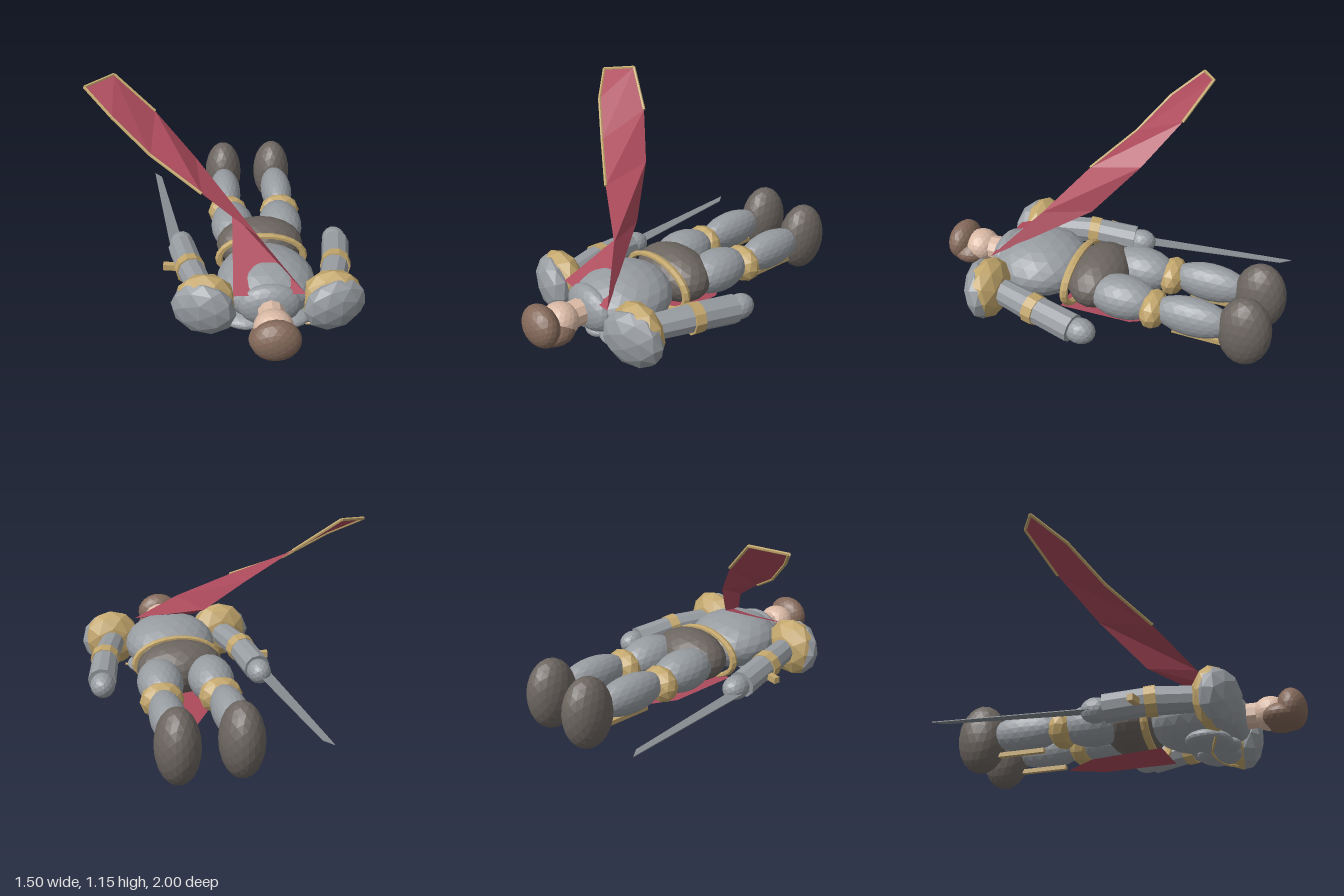
import * as THREE from 'three';

const paint = (color, side = THREE.FrontSide) =>
  new THREE.MeshStandardMaterial({ color, flatShading: true, side });
const steel = paint(0x979ca1), gold = paint(0xc2a66c), hairBrown = paint(0x84695a);
const leather = paint(0x6c6560), skin = paint(0xd9b9a5);
const red = paint(0xac4a5b, THREE.DoubleSide), blade = paint(0x858b90, THREE.DoubleSide);
const MID = 0.22; // symmetry plane of the body

export function createModel() {
  const model = new THREE.Group();
  model.name = 'recliningKnight';

  const add = (name, geometry, material, parent = model) => {
    const mesh = new THREE.Mesh(geometry, material);
    mesh.name = name;
    parent.add(mesh);
    return mesh;
  };
  const blob = (name, pos, radii, material, detail = 3, parent = model) => {
    const mesh = add(name, new THREE.IcosahedronGeometry(1, detail), material, parent);
    mesh.position.set(...pos);
    mesh.scale.set(...radii);
    return mesh;
  };
  // Faceted cylinder running from a to b
  const rod = (name, a, b, ra, rb, sides, material, parent = model) => {
    const p = new THREE.Vector3(...a), q = new THREE.Vector3(...b);
    const dir = q.clone().sub(p);
    const mesh = add(name, new THREE.CylinderGeometry(rb, ra, dir.length(), sides), material, parent);
    mesh.position.copy(p).lerp(q, 0.5);
    mesh.quaternion.setFromUnitVectors(new THREE.Vector3(0, 1, 0), dir.normalize());
    return mesh;
  };
  const sheet = (name, points, index, material, parent = model) => {
    const g = new THREE.BufferGeometry();
    g.setAttribute('position', new THREE.Float32BufferAttribute(points.flat(), 3));
    g.setIndex(index);
    g.computeVertexNormals();
    return add(name, g, material, parent);
  };

  // Head
  blob('face', [MID, 0.22, 0.8], [0.105, 0.095, 0.1], skin);
  blob('topHair', [MID, 0.232, 0.915], [0.13, 0.114, 0.083], hairBrown);
  blob('backHair', [MID, 0.19, 0.855], [0.133, 0.075, 0.12], hairBrown);
  rod('neck', [MID, 0.22, 0.62], [MID, 0.22, 0.78], 0.075, 0.07, 10, skin);

  // Torso
  blob('chest', [MID, 0.22, 0.4], [0.27, 0.165, 0.28], steel);
  blob('collar', [MID, 0.22, 0.61], [0.17, 0.125, 0.075], steel);
  blob('hips', [MID, 0.22, 0.03], [0.25, 0.152, 0.17], leather);
  const belt = add('belt', new THREE.TorusGeometry(1, 0.09, 6, 24), gold);
  belt.position.set(MID, 0.205, 0.15);
  belt.scale.set(0.243, 0.143, 0.26);

  // Back plates with a gilded rim
  for (const s of [-1, 1]) {
    const plate = blob('backPlate', [MID + s * 0.12, 0.06, 0.48], [0.14, 0.05, 0.125], steel);
    plate.rotation.y = s * 0.35;
  }
  blob('spinePlate', [MID, 0.07, 0.55], [0.08, 0.04, 0.08], steel);
  const rim = new THREE.CatmullRomCurve3([
    [-0.045, 0.03, 0.55], [0.06, 0.013, 0.51], [MID, 0.022, 0.47], [0.38, 0.013, 0.51], [0.485, 0.03, 0.55],
  ].map((p) => new THREE.Vector3(...p)));
  add('backPlateRim', new THREE.TubeGeometry(rim, 20, 0.008, 5), gold);

  // Arms and legs, mirrored about the body's middle
  for (const s of [1, -1]) {
    const side = s > 0 ? 'left' : 'right';
    const x = (d) => MID + s * d;

    const arm = new THREE.Group();
    arm.name = side + 'Arm';
    model.add(arm);
    blob('pauldronTrim', [x(0.34), 0.21, 0.56], [0.172, 0.176, 0.108], gold, 1, arm);
    const pauldron = blob('pauldron', [x(0.35), 0.2, 0.6], [0.18, 0.164, 0.092], steel, 1, arm);
    pauldron.rotation.set(0.12, s * 0.3, 0);
    rod('upperArm', [x(0.335), 0.215, 0.52], [x(0.41), 0.21, 0.25], 0.07, 0.078, 10, steel, arm);
    rod('elbowBand', [x(0.405), 0.21, 0.275], [x(0.418), 0.205, 0.215], 0.086, 0.083, 10, gold, arm);
    rod('forearm', [x(0.41), 0.21, 0.24], [x(0.452), 0.183, 0], 0.077, 0.08, 10, steel, arm);
    blob('hand', [x(0.452), 0.18, -0.045], [0.07, 0.07, 0.085], steel, 2, arm);

    const leg = new THREE.Group();
    leg.name = side + 'Leg';
    model.add(leg);
    blob('thigh', [x(0.143), 0.22, -0.165], [0.128, 0.12, 0.2], steel, 3, leg);
    blob('knee', [x(0.16), 0.205, -0.35], [0.122, 0.106, 0.078], gold, 1, leg);
    blob('shin', [x(0.163), 0.22, -0.57], [0.096, 0.11, 0.225], steel, 3, leg);
    blob('boot', [x(0.16), 0.21, -0.855], [0.117, 0.204, 0.145], leather, 3, leg);
    const strip = add('calfStrip', new THREE.BoxGeometry(0.03, 0.025, 0.28), gold, leg);
    strip.position.set(x(0.163), 0.1, -0.6);
  }

  // Loincloth hanging behind the legs
  sheet('loincloth', [
    [0.08, 0.045, 0.22], [0.37, 0.045, 0.22], [0.34, 0.03, -0.19], [MID, 0.02, -0.38], [0.1, 0.03, -0.19],
  ], [0, 1, 2, 0, 2, 4, 4, 2, 3], red);

  // Sword in the right hand
  const sword = new THREE.Group();
  sword.name = 'sword';
  model.add(sword);
  const outline = new THREE.Shape([
    [-0.295, 0], [-0.395, 0.925], [-0.35, 0.87], [-0.215, 0],
  ].map((p) => new THREE.Vector2(...p)));
  const bladeGeo = new THREE.ExtrudeGeometry(outline, { depth: 0.005, bevelEnabled: false });
  bladeGeo.rotateX(-Math.PI / 2);
  add('blade', bladeGeo, blade, sword).position.y = 0.163;
  const guard = add('crossguard', new THREE.BoxGeometry(0.2, 0.036, 0.035), gold, sword);
  guard.position.set(-0.242, 0.184, 0.195);
  guard.rotation.y = -0.16;

  // Twisting cape: two edges, inner (A) and outer (B)
  const A = [[0.05, 0.51, 0.155], [-0.14, 0.745, -0.065], [-0.36, 0.96, -0.23], [-0.585, 1.145, -0.335]];
  const B = [[0.175, 0.515, 0.41], [-0.12, 0.69, 0.24], [-0.39, 0.835, 0.06], [-0.595, 1.0, -0.078]];
  const tip = [-0.747, 1.117, -0.23];
  const rows = [[[0.025, 0.3, 0.635], [0.405, 0.3, 0.635]], ...A.map((a, i) => [a, B[i]])];
  const index = [];
  for (let i = 0; i < rows.length - 1; i++) {
    const k = 2 * i;
    index.push(k, k + 1, k + 2, k + 1, k + 3, k + 2);
  }
  index.push(8, 9, 10);
  sheet('cape', [...rows.flat(), tip], index, red);

  // Gold hem around the free end of the cape
  const hem = [B[1], B[2], B[3], tip, A[3], A[2]];
  for (let i = 0; i < hem.length - 1; i++) {
    rod('capeHem', hem[i], hem[i + 1], 0.009, 0.009, 6, gold);
  }
  return model;
}
